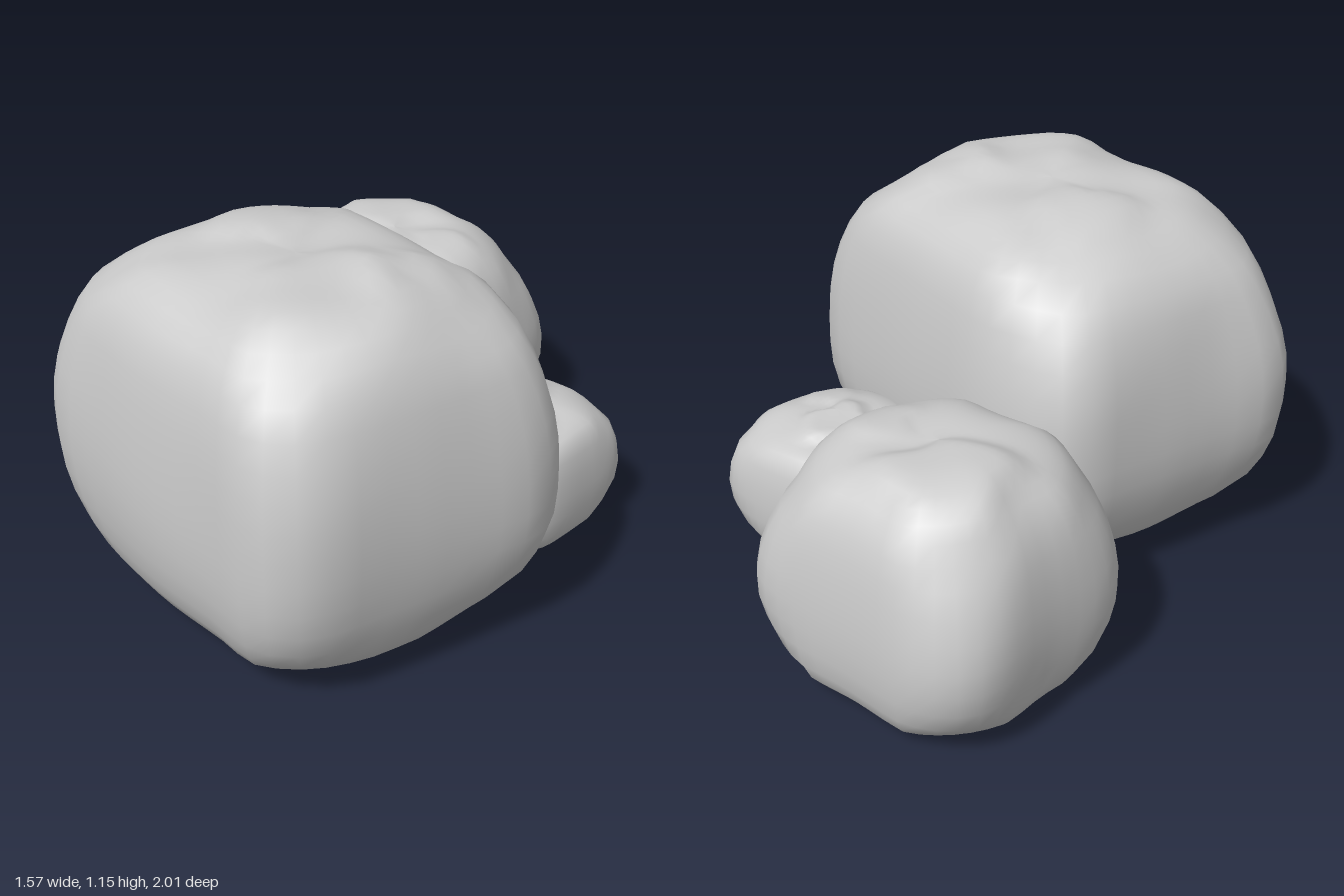
import * as THREE from 'three';

const AROUND = 48, UP = 32;
const { smoothstep, lerp, clamp } = THREE.MathUtils;

// Boulder lofted from a plan outline (x, z, turning from +x to +z) and a profile of [scale, height].
// round is how quickly the plan's corners are worn off above and below its widest level.
// crusts are raised weathered patches on top: [x, z, radius, height].
function boulder(name, { center, outline, profile, crusts, seed, round }) {
  const [cx, cz] = center;
  const plan = new THREE.CatmullRomCurve3(
    outline.map(([x, z]) => new THREE.Vector3(x - cx, 0, z - cz)), true).getSpacedPoints(AROUND).slice(0, AROUND);
  const rings = new THREE.SplineCurve(profile.map(p => new THREE.Vector2(...p))).getSpacedPoints(UP);
  const limit = 0.97 * plan.reduce((sum, p) => sum + p.length(), 0) / AROUND;
  const height = profile.at(-1)[1];
  const pos = [], index = [];

  const addPoint = (x, y, z) => {
    // broad uneven swelling of the sides
    const swell = 1 + 0.008 * Math.sin(5 * x + 4 * y + seed) * Math.sin(4 * z - 6 * y + 2 * seed);
    const px = x * swell + cx, pz = z * swell + cz;
    // ragged crust patches and fine lumps, only on the upper part
    const upper = smoothstep(y, height * 0.72, height * 0.95);
    let lift = 0.008 * Math.sin(13 * px + seed) * Math.cos(15 * pz - seed);
    for (const [bx, bz, r, h] of crusts) {
      const a = Math.atan2(pz - bz, px - bx);
      const edge = r * (1 + 0.14 * Math.sin(3 * a + seed) + 0.08 * Math.sin(5 * a - seed));
      lift += h * (1 - smoothstep(Math.hypot(px - bx, pz - bz), edge * 0.6, edge));
    }
    pos.push(px, y + upper * lift, pz);
  };

  for (const { x: s, y } of rings) {
    const k = clamp((1 - s) * round, 0, 1);
    for (const p of plan) {
      const f = s * lerp(1, Math.min(1, limit / p.length()), k);
      addPoint(p.x * f, y, p.z * f);
    }
  }
  for (let j = 0; j < UP; j++) {
    for (let i = 0; i < AROUND; i++) {
      const n = (i + 1) % AROUND;
      const a = j * AROUND + i, b = j * AROUND + n, c = b + AROUND, d = a + AROUND;
      index.push(a, d, b, b, d, c);
    }
  }
  const geo = new THREE.BufferGeometry();
  geo.setAttribute('position', new THREE.Float32BufferAttribute(pos, 3));
  geo.setIndex(index);
  geo.computeVertexNormals();
  const mesh = new THREE.Mesh(geo, new THREE.MeshStandardMaterial({ color: 0xcccccc, roughness: 0.9 }));
  mesh.name = name;
  return mesh;
}

export function createModel() {
  const group = new THREE.Group();
  group.name = 'boulderCluster';

  group.add(boulder('largeBoulder', {
    center: [0.03, 0.39], seed: 1.3, round: 5,
    outline: [[0.78, 0.19], [0.69, 0.46], [0.6, 0.7], [0.51, 0.92], [0.38, 1], [0.12, 0.95], [-0.16, 0.9],
      [-0.4, 0.83], [-0.61, 0.76], [-0.755, 0.57], [-0.67, 0.33], [-0.58, 0.05], [-0.49, -0.18], [-0.2, -0.225],
      [0.1, -0.15], [0.4, -0.06], [0.71, 0.05]],
    profile: [[0, 0.02], [0.4, 0.022], [0.66, 0.035], [0.8, 0.075], [0.89, 0.14], [0.96, 0.25], [1, 0.42], [1, 0.62],
      [0.96, 0.82], [0.87, 0.99], [0.66, 1.09], [0.34, 1.125], [0, 1.13]],
    crusts: [[0.28, 0.55, 0.3, 0.02], [0.38, 0.3, 0.18, 0.015], [-0.2, 0.25, 0.2, 0.015]],
  }));

  group.add(boulder('mediumBoulder', {
    center: [-0.34, -0.6], seed: 2.6, round: 9,
    outline: [[0.095, -0.6], [0.09, -0.32], [0, -0.2], [-0.3, -0.19], [-0.64, -0.2], [-0.78, -0.35], [-0.765, -0.62],
      [-0.74, -0.9], [-0.62, -1], [-0.3, -1], [-0.02, -0.99], [0.09, -0.91]],
    profile: [[0, 0.005], [0.5, 0.01], [0.77, 0.025], [0.92, 0.09], [0.98, 0.19], [1, 0.32], [0.97, 0.47], [0.89, 0.61],
      [0.74, 0.7], [0.48, 0.75], [0, 0.765]],
    crusts: [[-0.48, -0.73, 0.23, 0.025], [-0.12, -0.6, 0.14, 0.01]],
  }));

  group.add(boulder('smallBoulder', {
    center: [0.35, -0.3], seed: 4.1, round: 9,
    outline: [[0.63, -0.3], [0.59, -0.1], [0.52, -0.035], [0.3, 0], [0.12, -0.03], [0.06, -0.16], [0.07, -0.36],
      [0.11, -0.53], [0.3, -0.575], [0.54, -0.57], [0.625, -0.52]],
    profile: [[0, 0.005], [0.5, 0.01], [0.8, 0.03], [0.95, 0.09], [1, 0.2], [0.98, 0.31], [0.89, 0.395],
      [0.55, 0.44], [0, 0.455]],
    crusts: [[0.3, -0.34, 0.14, 0.025], [0.46, -0.2, 0.1, 0.01]],
  }));

  return group;
}
